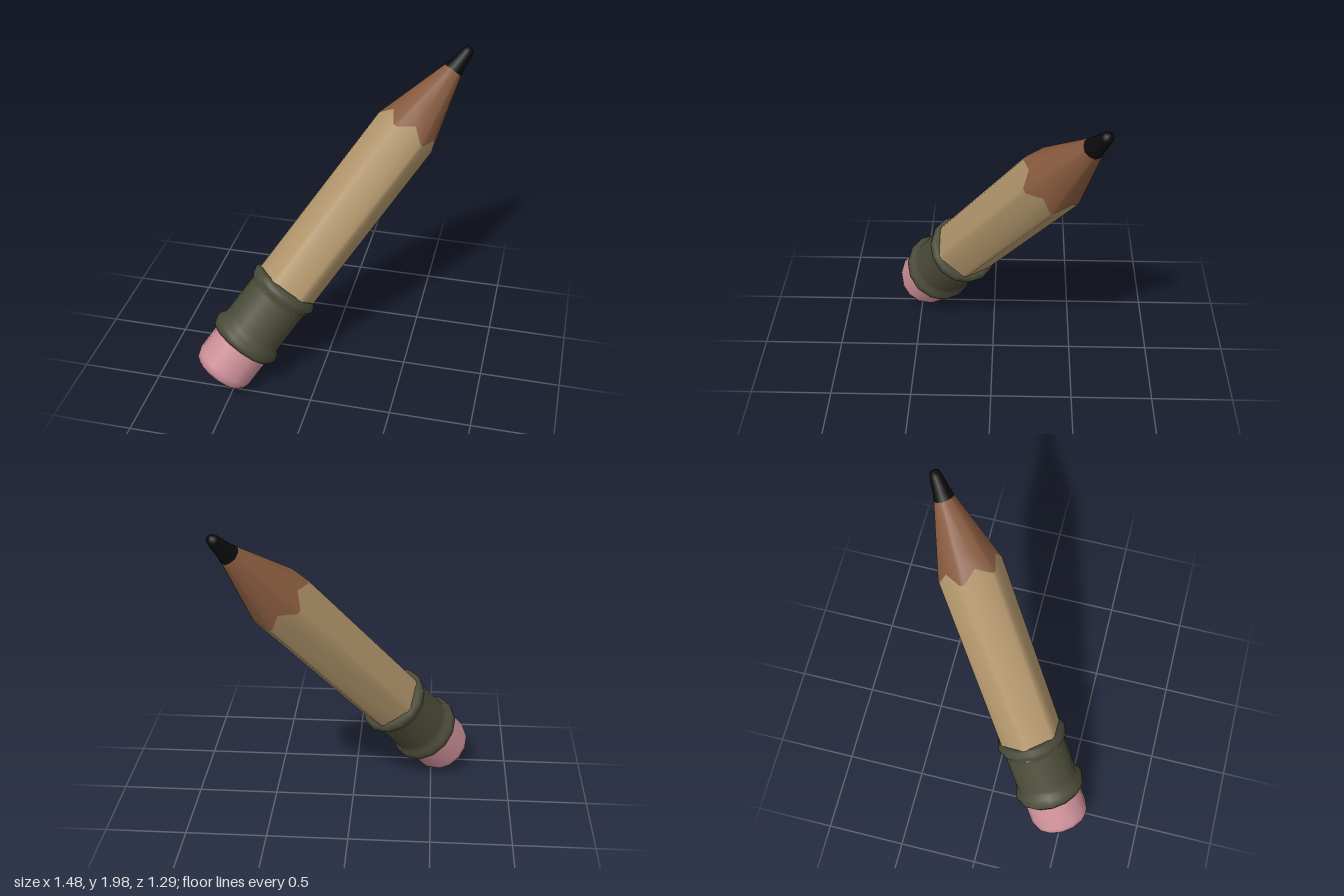
import * as THREE from 'three';
import { toCreasedNormals } from 'three/addons/utils/BufferGeometryUtils.js';

const material = (name, color) => {
  const m = new THREE.MeshStandardMaterial({ color });
  m.name = name;
  return m;
};

// Six flat faces with bevelled corners: bevel, face centre, bevel for each side
const APOTHEM = 0.181, BEVEL = 26;
const ANGLES = [];
for (let k = 0; k < 6; k++) for (const a of [-BEVEL, 0, BEVEL]) ANGLES.push([k * 60 + a, a]);
const hexRadius = (a) => APOTHEM / Math.cos(THREE.MathUtils.degToRad(a));
const CORNER = hexRadius(BEVEL);

// Height at which the sharpening cone cuts the barrel: higher at face centres
const SHOULDER = 1.63, SLOPE = 0.3, LEAD_R = 0.062;
const LEAD_Y = SHOULDER + (CORNER - LEAD_R) / SLOPE;
const cutHeight = (a) => SHOULDER + (CORNER - hexRadius(a)) / SLOPE;

// Skin between rings; each ring maps a local face angle to [radius, height]
function loft(rings) {
  const pos = [], index = [], n = ANGLES.length;
  for (const ring of rings) {
    for (const [deg, a] of ANGLES) {
      const t = THREE.MathUtils.degToRad(deg), [r, y] = ring(a);
      pos.push(r * Math.sin(t), y, r * Math.cos(t));
    }
  }
  for (let j = 0; j < rings.length - 1; j++) {
    for (let i = 0; i < n; i++) {
      const a = j * n + i, b = j * n + (i + 1) % n;
      index.push(a, b, a + n, b, b + n, a + n);
    }
  }
  const g = new THREE.BufferGeometry();
  g.setAttribute('position', new THREE.Float32BufferAttribute(pos, 3));
  g.setIndex(index);
  return g;
}

const lathe = (points, sides) =>
  new THREE.LatheGeometry(points.map(([r, y]) => new THREE.Vector2(r, y)), sides);

export function createModel() {
  const group = new THREE.Group();
  group.name = 'pencil';
  const add = (name, geometry, mat) => {
    const mesh = new THREE.Mesh(geometry, mat);
    mesh.name = name;
    group.add(mesh);
  };

  // Hexagonal barrel with a scalloped upper edge
  const barrel = loft([(a) => [hexRadius(a), 0.35], (a) => [hexRadius(a), cutHeight(a)]]);
  add('barrel', toCreasedNormals(barrel, 0.6), material('tan paint', 0xb2966c));

  // Sharpened wood, blending from the barrel edge to a round cone
  const wood = loft([
    (a) => [hexRadius(a), cutHeight(a)],
    () => [0.145, SHOULDER + (CORNER - 0.145) / SLOPE],
    () => [LEAD_R, LEAD_Y],
  ]);
  wood.computeVertexNormals();
  add('sharpenedWood', wood, material('brown wood', 0x85593e));

  // Blunt lead point
  add('lead', lathe([
    [LEAD_R, LEAD_Y], [0.05, LEAD_Y + 0.05], [0.036, 2.235], [0.026, 2.262], [0, 2.27],
  ], 18), material('black lead', 0x0b0b0b));

  // Metal ferrule with a rolled ring at each end
  add('ferrule', lathe([
    [0.17, -0.03], [0.205, -0.035], [0.225, -0.015], [0.229, 0.015], [0.22, 0.045],
    [0.202, 0.065], [0.2, 0.1], [0.2, 0.33], [0.206, 0.355], [0.222, 0.38],
    [0.226, 0.405], [0.215, 0.43], [0.195, 0.44], [0.16, 0.435],
  ], 14), material('olive metal', 0x4b4b39));

  // Rounded eraser
  add('eraser', lathe([
    [0, -0.29], [0.11, -0.288], [0.15, -0.278], [0.178, -0.255], [0.191, -0.215], [0.191, 0],
  ], 14), material('pink rubber', 0xcb8e98));

  // Lean the pencil along its diagonal, one flat face to the front
  const axis = new THREE.Vector3(0.519, 0.733, -0.44).normalize();
  const side = new THREE.Vector3(axis.y, -axis.x, 0).normalize();
  const front = side.clone().cross(axis);
  group.quaternion.setFromRotationMatrix(new THREE.Matrix4().makeBasis(side, axis, front));
  group.position.set(-0.45, 0.316, 0.375);

  const model = new THREE.Group();
  model.name = 'leaningPencil';
  model.add(group);
  return model;
}
